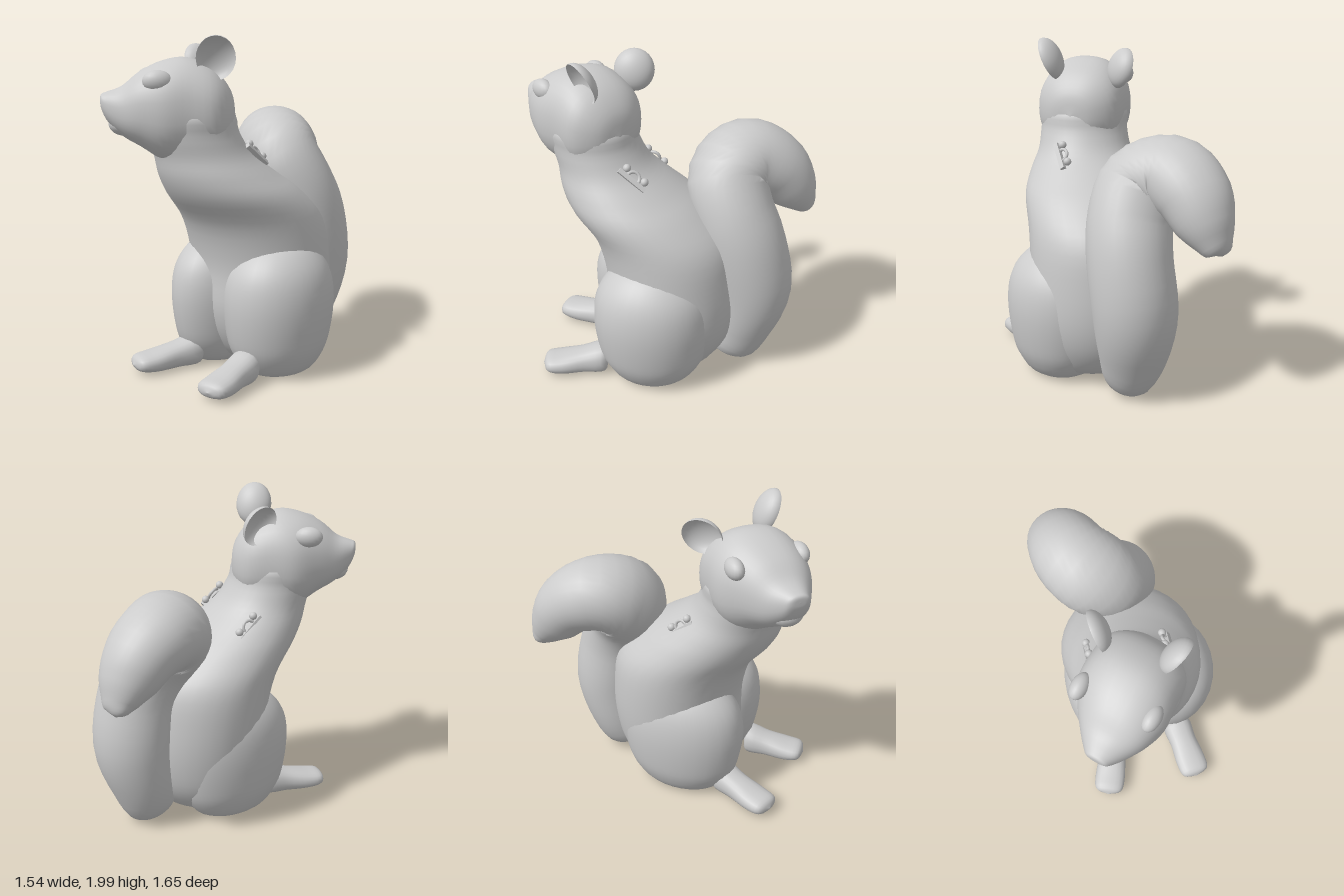
import * as THREE from 'three';

const grey = new THREE.MeshStandardMaterial({ color: 0xcccccc });
const greyThin = new THREE.MeshStandardMaterial({ color: 0xcccccc, side: THREE.DoubleSide });
const v3 = (x, y, z) => new THREE.Vector3(x, y, z);
const UP = v3(0, 1, 0);
const SIDE = v3(0.71, 0, 0.71);      // across the hips
const FACING = v3(-0.71, 0, 0.71);   // the way the body faces

function add(group, name, geometry, position, material = grey) {
  const mesh = new THREE.Mesh(geometry, material);
  mesh.name = name;
  mesh.position.copy(position);
  group.add(mesh);
  return mesh;
}

const rounded = (v, power) => Math.sign(v) * Math.abs(v) ** power;

// Smooth skin through sections [x, y, z, radiusU, radiusV]; power below 1 squares them.
// axes(tangent) returns the section axes U, V with U x V along the path.
function loft(rows, axes, around = 28, power = 1) {
  const path = new THREE.CatmullRomCurve3(rows.map(r => v3(r[0], r[1], r[2])), false, 'catmullrom', 0.5);
  const radii = new THREE.CatmullRomCurve3(rows.map(r => v3(r[3], r[4], 0)), false, 'catmullrom', 0.5);
  const steps = (rows.length - 1) * 4;
  const positions = [], index = [];
  for (let i = 0; i <= steps; i++) {
    const t = i / steps, c = path.getPoint(t), r = radii.getPoint(t);
    const [U, V] = axes(path.getTangent(t));
    for (let j = 0; j < around; j++) {
      const a = (j / around) * Math.PI * 2;
      const p = c.clone()
        .addScaledVector(U, rounded(Math.cos(a), power) * Math.max(r.x, 0.0005))
        .addScaledVector(V, rounded(Math.sin(a), power) * Math.max(r.y, 0.0005));
      positions.push(p.x, p.y, p.z);
      if (i < steps) {
        const k = (j + 1) % around, lo = i * around, hi = lo + around;
        index.push(lo + j, lo + k, hi + k, lo + j, hi + k, hi + j);
      }
    }
  }
  const g = new THREE.BufferGeometry();
  g.setAttribute('position', new THREE.Float32BufferAttribute(positions, 3));
  g.setIndex(index);
  g.computeVertexNormals();
  return g;
}

const ORIGIN = v3(0, 0, 0);
const level = () => [FACING, SIDE];

function thigh(side, length, width) {
  const c = v3(0.1, 0, 0.13).addScaledVector(SIDE, 0.21 * side);
  // [height, share of full width]
  const rows = [[0.02, 0], [0.02, 0.55], [0.13, 0.83], [0.27, 0.95], [0.45, 1], [0.6, 0.94],
    [0.71, 0.76], [0.79, 0.46], [0.83, 0]];
  return loft(rows.map(([y, s]) => [c.x, y, c.z, length * s, width * s]), level);
}

function foot(heel, toe) {
  const dir = toe.clone().sub(heel).setY(0).normalize();
  const across = UP.clone().cross(dir);
  // [fraction of length, centre height, half width, half height]
  const rows = [[-0.05, 0.11, 0, 0], [0, 0.11, 0.09, 0.09], [0.35, 0.09, 0.09, 0.075],
    [0.7, 0.075, 0.1, 0.06], [0.93, 0.075, 0.085, 0.042], [1, 0.07, 0, 0]];
  return loft(rows.map(([t, y, w, h]) => {
    const p = heel.clone().lerp(toe, t);
    return [p.x, y, p.z, w, h];
  }), () => [across, UP], 20, 0.85);
}

// Thin cupped ear, its hollow turned towards `opening`
function ear(group, name, center, opening, width, height) {
  const g = new THREE.SphereGeometry(1, 24, 8, 0, Math.PI * 2, 0, Math.PI / 2);
  g.rotateX(-Math.PI / 2).scale(width, height, 0.075);
  const mesh = add(group, name, g, center, greyThin);
  mesh.lookAt(center.clone().add(opening));
}

// Little clip: a bar carrying two knobs and an arch
function clip(name, center, along, rise) {
  const group = new THREE.Group();
  group.name = name;
  add(group, 'bar', new THREE.BoxGeometry(0.19, 0.028, 0.03), v3(0, -0.025, 0));
  for (const s of [-1, 1]) {
    add(group, 'knob', new THREE.SphereGeometry(0.024, 12, 8), v3(0.065 * s, 0.015, 0));
  }
  add(group, 'arch', new THREE.TorusGeometry(0.038, 0.01, 8, 14, Math.PI), v3(0, -0.01, 0));
  const x = along.clone().normalize();
  const z = x.clone().cross(rise).normalize();
  const y = z.clone().cross(x);
  group.quaternion.setFromRotationMatrix(new THREE.Matrix4().makeBasis(x, y, z));
  group.position.copy(center);
  return group;
}

export function createModel() {
  const model = new THREE.Group();
  model.name = 'squirrel';

  // Torso and neck
  add(model, 'torso', loft([
    [0.17, 0.06, 0.06, 0, 0], [0.17, 0.06, 0.06, 0.22, 0.26], [0.17, 0.2, 0.05, 0.35, 0.37],
    [0.17, 0.4, 0.05, 0.41, 0.42], [0.16, 0.65, 0.04, 0.41, 0.43], [0.11, 0.9, 0.07, 0.42, 0.425],
    [-0.01, 1.08, 0.17, 0.4, 0.395], [-0.11, 1.2, 0.23, 0.345, 0.345], [-0.195, 1.32, 0.27, 0.28, 0.29],
    [-0.255, 1.45, 0.295, 0.26, 0.27], [-0.285, 1.58, 0.3, 0.24, 0.255], [-0.29, 1.72, 0.3, 0, 0],
  ], level, 36), ORIGIN);

  // Hind legs
  add(model, 'leftThigh', thigh(1, 0.36, 0.31), ORIGIN);
  add(model, 'rightThigh', thigh(-1, 0.4, 0.26), ORIGIN);
  add(model, 'leftFoot', foot(v3(0.04, 0, 0.5), v3(-0.2, 0, 0.8)), ORIGIN);
  add(model, 'rightFoot', foot(v3(-0.24, 0, 0.17), v3(-0.62, 0, 0.34)), ORIGIN);

  // Head, from the nape to the nose
  add(model, 'head', loft([
    [-0.01, 1.54, 0.3, 0, 0], [-0.035, 1.55, 0.3, 0.14, 0.13], [-0.13, 1.56, 0.3, 0.25, 0.24],
    [-0.28, 1.58, 0.3, 0.27, 0.29], [-0.42, 1.575, 0.31, 0.27, 0.28], [-0.55, 1.585, 0.33, 0.215, 0.21],
    [-0.65, 1.575, 0.34, 0.15, 0.14], [-0.73, 1.6, 0.35, 0.09, 0.085],
    [-0.765, 1.63, 0.355, 0.055, 0.04], [-0.77, 1.635, 0.355, 0, 0],
  ], () => [v3(0, 0, 1), UP], 36, 0.87), ORIGIN);
  const chin = add(model, 'chin', new THREE.SphereGeometry(1, 20, 12), v3(-0.64, 1.505, 0.345));
  chin.scale.set(0.09, 0.07, 0.1);

  // Eyes
  for (const [name, x, z] of [['leftEye', -0.45, 0.51], ['rightEye', -0.49, 0.1]]) {
    const eye = add(model, name, new THREE.SphereGeometry(1, 20, 12), v3(x, 1.75, z));
    eye.scale.set(0.082, 0.06, 0.05);
  }

  // Ears
  ear(model, 'leftEar', v3(-0.13, 1.87, 0.475), v3(-0.05, -0.4, 0.9), 0.11, 0.135);
  ear(model, 'rightEar', v3(-0.21, 1.82, 0.03), v3(-0.7, -0.3, -0.65), 0.12, 0.125);

  // Tail, rising behind the back and curling over
  add(model, 'tail', loft([
    [0.42, 0.055, -0.19, 0, 0], [0.43, 0.085, -0.2, 0.13, 0.15], [0.475, 0.27, -0.26, 0.205, 0.2],
    [0.52, 0.55, -0.285, 0.245, 0.245], [0.485, 0.85, -0.24, 0.245, 0.25], [0.4, 1.06, -0.22, 0.25, 0.24],
    [0.3, 1.23, -0.265, 0.26, 0.24], [0.3, 1.3, -0.42, 0.25, 0.23], [0.385, 1.235, -0.565, 0.225, 0.205],
    [0.455, 1.1, -0.66, 0.18, 0.165], [0.49, 1.0, -0.725, 0.12, 0.1], [0.5, 0.95, -0.76, 0.075, 0.055],
    [0.505, 0.925, -0.77, 0, 0],
  ], T => {
    const U = SIDE.clone().addScaledVector(T, -SIDE.dot(T)).normalize();
    return [U, T.clone().cross(U)];
  }, 32), ORIGIN);

  // Clips on the shoulders
  model.add(clip('leftClip', v3(0.11, 1.33, 0.3), v3(0.62, -0.62, -0.47), v3(-0.1, 0.6, -0.75)));
  model.add(clip('rightClip', v3(-0.15, 1.245, -0.075), v3(-0.55, 0.62, 0.5), v3(0.7, 0.5, -0.3)));

  return model;
}
